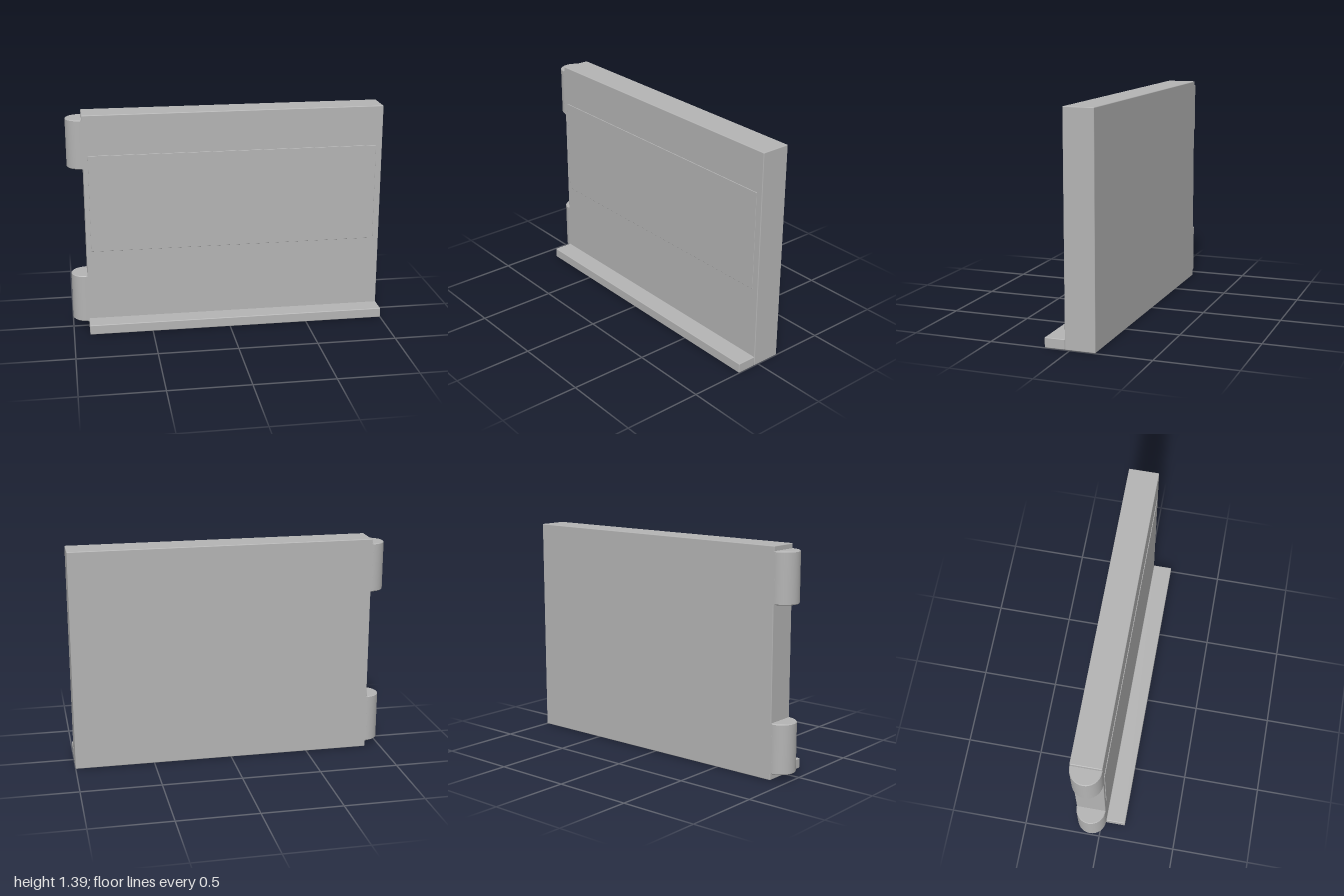
import * as THREE from 'three';
import { RoundedBoxGeometry } from 'three/addons/geometries/RoundedBoxGeometry.js';

export function createModel() {
  const group = new THREE.Group();
  const grey = new THREE.MeshStandardMaterial({ color: 0xb4b4b4 });
  grey.name = 'plain grey';

  // Softly edged box given by its minimum and maximum corners
  const block = (name, min, max, radius) => {
    const size = max.map((v, i) => v - min[i]);
    const mesh = new THREE.Mesh(new RoundedBoxGeometry(...size, 2, radius), grey);
    mesh.position.set(...max.map((v, i) => (v + min[i]) / 2));
    mesh.name = name;
    group.add(mesh);
  };

  // Main slab, raised face plate and the shelf along the foot
  block('panel', [-0.9, 0, -0.157], [1, 1.395, 0.031], 0.005);
  block('facePlate', [-0.87, 0.515, 0.027], [0.96, 1.14, 0.035], 0.002);
  block('ledge', [-0.9, 0, 0.031], [1, 0.063, 0.157], 0.005);

  // Half-round hinge knuckles on the right edge, with a small bevel at each end
  const r = 0.094, bevel = 0.005;
  for (const [name, y0, y1] of [['lowerHinge', 0.04, 0.35], ['upperHinge', 1.055, 1.365]]) {
    const profile = [
      [0, y0], [r - bevel, y0], [r, y0 + bevel], [r, y1 - bevel], [r - bevel, y1], [0, y1],
    ].map(([x, y]) => new THREE.Vector2(x, y));
    // Doubled corners keep the end caps flat and crisp
    const crisp = profile.flatMap((p, i) => (i && i < profile.length - 1 ? [p, p.clone()] : [p]));
    const geometry = new THREE.LatheGeometry(crisp, 16, Math.PI, Math.PI);
    const hinge = new THREE.Mesh(geometry, grey);
    hinge.position.set(-0.906, 0, -0.063);
    hinge.name = name;
    group.add(hinge);

    // Short web joining the knuckle to the panel
    block(name + 'Web', [-0.907, y0, -0.157], [-0.89, y1, 0.031], 0.0005);
  }

  return group;
}
